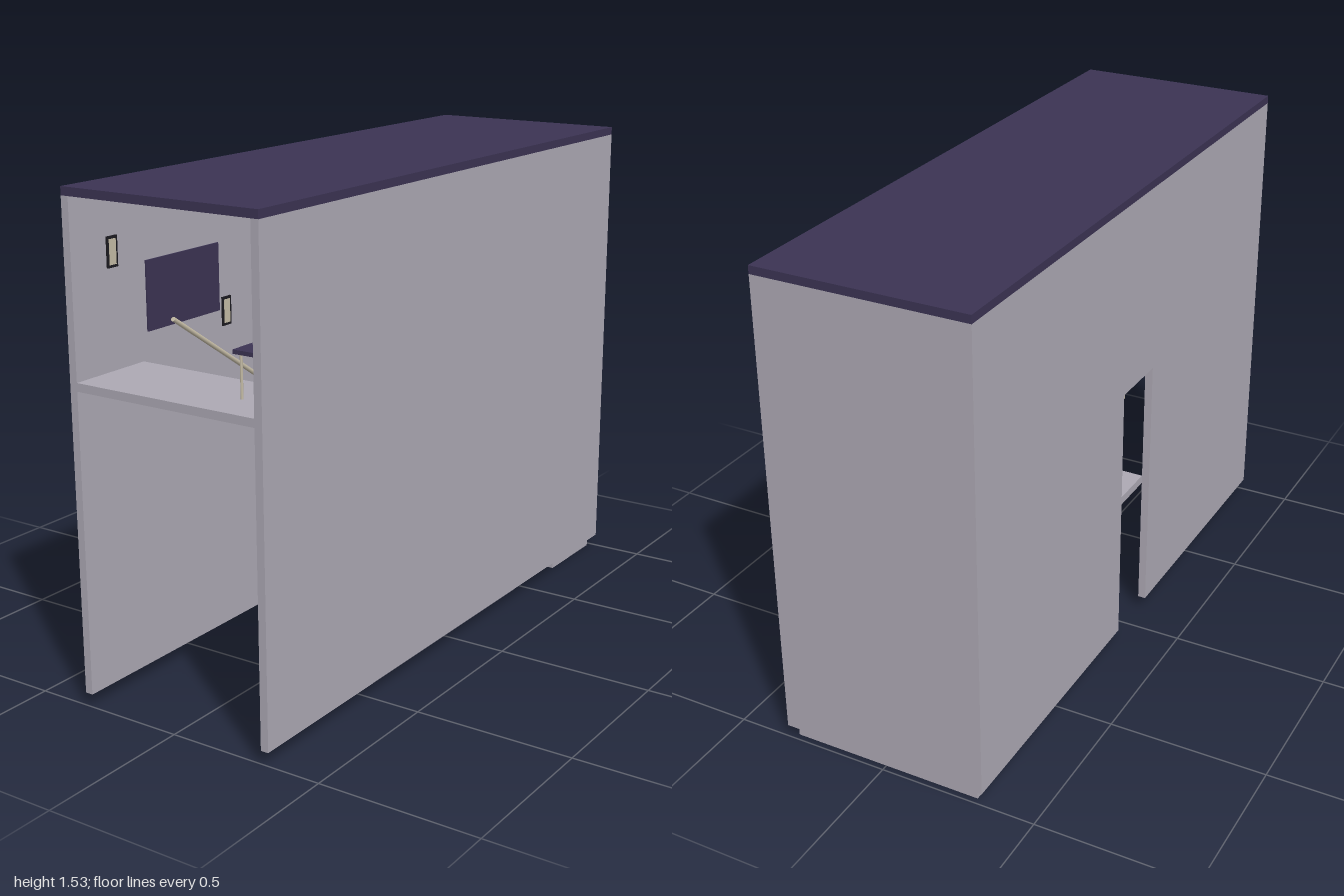
import * as THREE from 'three';

const mat = (name, color, side = THREE.FrontSide) => {
  const m = new THREE.MeshStandardMaterial({ color, side });
  m.name = name;
  return m;
};

export function createModel() {
  const group = new THREE.Group();
  const plaster = mat('plaster', 0xaca8b3);
  const navy = mat('navy', 0x3b3353);
  const tan = mat('tan', 0xc4bba5);
  const black = mat('black', 0x1c1a20);

  // Box given by its limits on each axis
  const box = (name, material, [x0, x1], [y0, y1], [z0, z1], parent = group) => {
    const mesh = new THREE.Mesh(new THREE.BoxGeometry(x1 - x0, y1 - y0, z1 - z0), material);
    mesh.position.set((x0 + x1) / 2, (y0 + y1) / 2, (z0 + z1) / 2);
    mesh.name = name;
    parent.add(mesh);
    return mesh;
  };

  // Round bar between two points
  const bar = (name, material, a, b, radius, parent = group) => {
    const dir = b.clone().sub(a);
    const mesh = new THREE.Mesh(new THREE.CylinderGeometry(radius, radius, dir.length(), 12), material);
    mesh.position.copy(a).add(b).multiplyScalar(0.5);
    mesh.quaternion.setFromUnitVectors(new THREE.Vector3(0, 1, 0), dir.normalize());
    mesh.name = name;
    parent.add(mesh);
  };

  // Shell: roof, back wall, solid left wall
  const W = 0.333, IN = 0.308, BASE = 0.04, TOP = 1.505;
  box('roof', navy, [-W, W], [TOP, 1.53], [-1, 1]);
  box('backWall', plaster, [-IN, IN], [BASE, TOP], [-1, -0.975]);
  box('leftWall', plaster, [IN, W], [BASE, TOP], [-1, 1]);

  // Right wall with a tall doorway open at the bottom
  const outline = new THREE.Shape([
    [-1, BASE], [-0.1, BASE], [-0.1, 0.9], [0.108, 0.9],
    [0.108, BASE], [1, BASE], [1, TOP], [-1, TOP],
  ].map(([z, y]) => new THREE.Vector2(-z, y)));
  const rightWall = new THREE.Mesh(
    new THREE.ExtrudeGeometry(outline, { depth: W - IN, bevelEnabled: false }), plaster);
  rightWall.rotation.y = Math.PI / 2;
  rightWall.position.x = -W;
  rightWall.name = 'rightWall';
  group.add(rightWall);

  // Floors and the side landing at the doorway
  box('lowerFloor', plaster, [-IN, IN], [0, 0.025], [-0.98, -0.71]);
  box('upperFloor', plaster, [-IN, IN], [0.96, 0.985], [0.72, 1]);
  box('landing', plaster, [-IN, -0.147], [0.48, 0.507], [-0.1, 0.108]);
  box('backSill', tan, [-0.14, 0.14], [0.025, 0.05], [-0.975, -0.96]);

  // Staircase rising to the front
  const stairs = new THREE.Group();
  stairs.name = 'stairs';
  group.add(stairs);
  const steps = 31, rise = 0.932 / steps, run = 1.43 / steps;
  for (let i = 0; i < steps; i++) {
    const y = 0.028 + i * rise, z = -0.71 + i * run;
    box('step', tan, [-0.15, 0.148], [y, y + rise], [z, z + run], stairs);
  }

  // Handrails, the right one broken at the landing
  const railPoint = (x, y) => new THREE.Vector3(x, y, -0.675 + (y - 0.205) * 1.53);
  bar('leftHandrail', tan, railPoint(0.164, 0.205), railPoint(0.164, 1.135), 0.007);
  bar('rightLowerHandrail', tan, railPoint(-0.168, 0.205), railPoint(-0.168, 0.588), 0.007);
  bar('rightUpperHandrail', tan, railPoint(-0.168, 0.718), railPoint(-0.168, 1.135), 0.007);

  // Framed pictures following the stairs, and a dark panel, on both walls
  const pictures = [[0.838, 1.328], [0.335, 1.062], [-0.155, 0.737], [-0.645, 0.418]];
  for (const s of [-1, 1]) {
    const span = (d0, d1) => (s > 0 ? [IN - d1, IN - d0] : [-IN + d0, -IN + d1]);
    for (const [z, y] of pictures) {
      box('pictureFrame', black, span(0, 0.005), [y - 0.045, y + 0.045], [z - 0.021, z + 0.021]);
      box('picture', tan, span(0.005, 0.006), [y - 0.037, y + 0.037], [z - 0.014, z + 0.014]);
    }
    box('wallPanel', navy, span(0, 0.005), [1.07, 1.28], [0.37, 0.7]);
  }

  // Small table on the upper floor
  const table = new THREE.Group();
  table.name = 'table';
  group.add(table);
  box('tableTop', navy, [0.156, 0.281], [1.112, 1.124], [0.78, 0.892], table);
  for (const x of [0.171, 0.266])
    for (const z of [0.8, 0.874])
      bar('tableLeg', tan, new THREE.Vector3(x, 0.985, z), new THREE.Vector3(x, 1.112, z), 0.004, table);

  return group;
}
